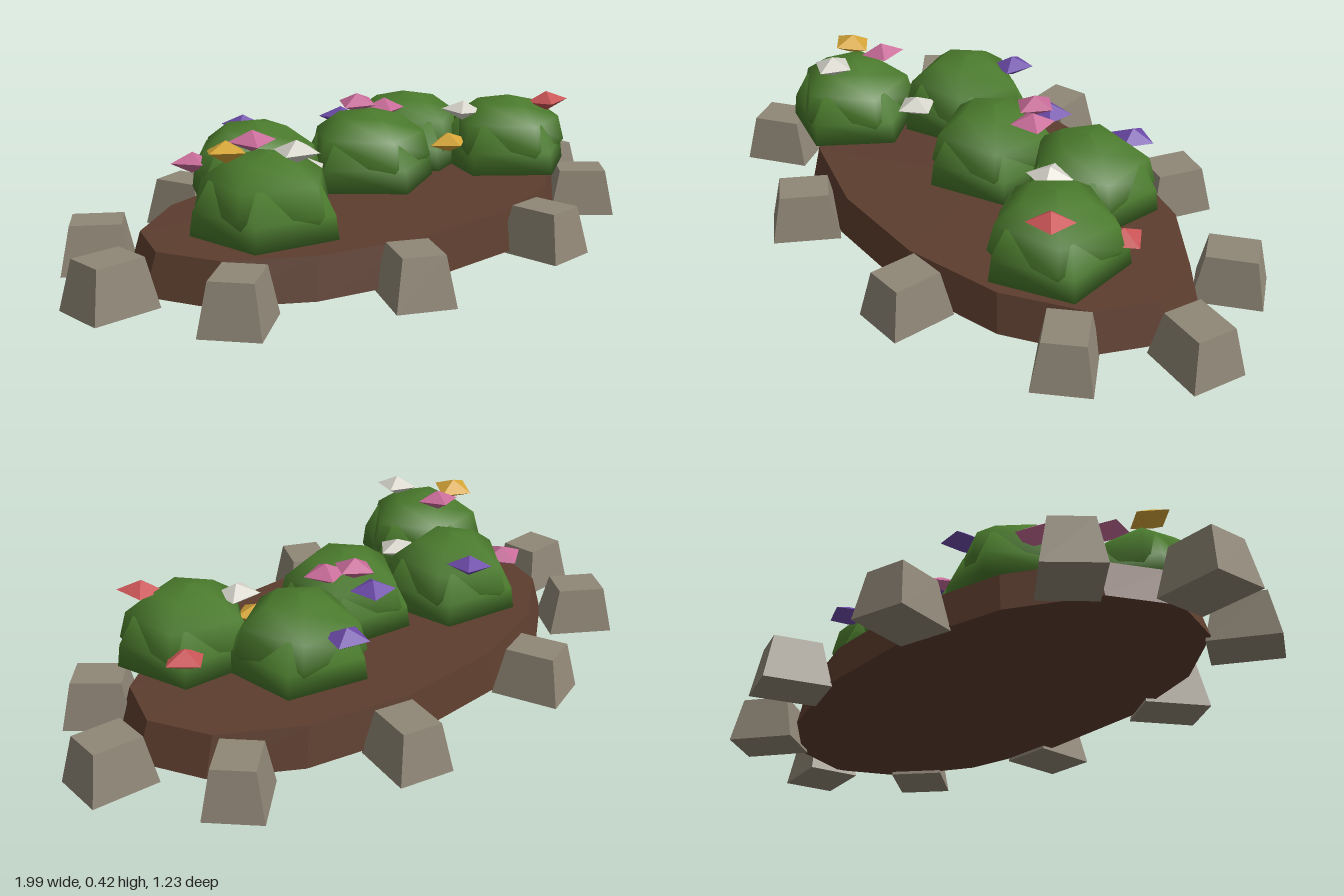
import * as THREE from 'three';

const mat = (name, color, flat = true) => {
  const m = new THREE.MeshStandardMaterial({ color, flatShading: flat });
  m.name = name;
  return m;
};

export function createModel() {
  const group = new THREE.Group();
  const soil = mat('soil', 0x5c3d2e);
  const stone = mat('stone', 0x8f8676);
  const leaf = mat('leaf', 0x4a7a2c, false);
  const petals = {
    red: mat('redPetal', 0xc85456),
    pink: mat('pinkPetal', 0xc76b98),
    yellow: mat('yellowPetal', 0xd4a437),
    white: mat('whitePetal', 0xd6d4ca),
    purple: mat('purplePetal', 0x6c4aa8),
  };
  const add = (parent, name, geo, material, x = 0, y = 0, z = 0) => {
    const m = new THREE.Mesh(geo, material);
    m.name = name;
    m.position.set(x, y, z);
    parent.add(m);
    return m;
  };

  // Oval earth bed with sloping sides and a slightly raised middle
  const bedGeo = new THREE.CylinderGeometry(0.95, 1, 0.115, 14, 1, false, Math.PI / 2);
  const bp = bedGeo.attributes.position;
  for (let i = 0; i < bp.count; i++) {
    if (bp.getY(i) > 0 && Math.hypot(bp.getX(i), bp.getZ(i)) < 0.1) bp.setY(i, 0.07);
  }
  add(group, 'soilBed', bedGeo, soil, 0, 0.0675, 0).scale.set(0.795, 1, 0.435);

  // Border stones: tapered blocks pointing outwards
  const stoneGeo = new THREE.BoxGeometry(0.2, 0.14, 0.165);
  const sp = stoneGeo.attributes.position;
  for (let i = 0; i < sp.count; i++) {
    if (sp.getY(i) > 0) {
      sp.setX(i, sp.getX(i) * 0.72);
      sp.setZ(i, sp.getZ(i) * 0.72);
    }
  }
  // x, z, outward direction in degrees (from +x towards +z)
  const stones = [
    [-0.895, -0.01, 180], [0.89, -0.01, 6],
    [-0.285, -0.495, -106], [0.272, -0.495, -75],
    [-0.73, -0.315, -143], [0.71, -0.315, -40],
    [-0.73, 0.31, 143], [0.71, 0.28, 45],
    [-0.28, 0.485, 118], [0.27, 0.48, 87],
  ];
  const border = new THREE.Group();
  border.name = 'stoneBorder';
  group.add(border);
  for (const [x, z, deg] of stones) {
    add(border, 'borderStone', stoneGeo, stone, x, 0.07, z).rotation.y = -THREE.MathUtils.degToRad(deg);
  }

  // Bushes: five-sided rounded dome over a wider leafy skirt
  const V = (r, y) => new THREE.Vector2(r, y);
  const dome = [V(0, 0.2), V(0.155, 0.195), V(0.192, 0.245), V(0.172, 0.32), V(0.095, 0.375), V(0, 0.39)];
  const skirt = [V(0, 0.2), V(0.14, 0.185), V(0.207, 0.175), V(0.198, 0.24), V(0.155, 0.32), V(0, 0.35)];
  const domeGeo = new THREE.LatheGeometry(dome, 5);
  const skirtGeo = new THREE.LatheGeometry(skirt, 5);
  // x, z, direction of one corner in degrees, height offset, skirt twist
  const bushes = [
    [-0.51, 0.165, 81, -0.008, 14],
    [-0.31, -0.13, -102, -0.005, 12],
    [0.02, 0, 36, 0, 8],
    [0.31, -0.12, 22, -0.005, -12],
    [0.49, 0.145, 36, -0.005, 12],
  ];
  for (const [x, z, deg, y, twist] of bushes) {
    const bush = new THREE.Group();
    bush.name = 'bush';
    bush.position.set(x, y, z);
    bush.rotation.y = THREE.MathUtils.degToRad(90 - deg);
    group.add(bush);
    add(bush, 'foliageDome', domeGeo, leaf);
    add(bush, 'foliageSkirt', skirtGeo, leaf).rotation.y = THREE.MathUtils.degToRad(twist);
  }

  // Blossoms: flattened octahedra
  const flowerGeo = new THREE.OctahedronGeometry(0.066);
  const flowers = [
    ['yellow', -0.6, 0.387, 0.11], ['pink', -0.48, 0.39, 0.07], ['white', -0.48, 0.393, 0.25],
    ['pink', -0.48, 0.28, -0.2], ['purple', -0.24, 0.342, -0.265], ['white', -0.29, 0.28, 0.07],
    ['purple', 0.07, 0.335, -0.17], ['pink', 0.08, 0.385, -0.105], ['pink', 0.14, 0.37, -0.05],
    ['purple', 0.3, 0.312, -0.295], ['yellow', 0.3, 0.255, 0.075], ['white', 0.37, 0.345, 0.07],
    ['red', 0.61, 0.25, 0.01], ['red', 0.58, 0.37, 0.235],
  ];
  flowers.forEach(([c, x, y, z], i) => {
    const f = add(group, 'blossom', flowerGeo, petals[c], x, y, z);
    f.scale.y = 0.46;
    f.rotation.set(0.08 * ((i % 3) - 1), 0.2 + i * 0.9, 0.08 * ((i % 2) * 2 - 1));
  });

  return group;
}
